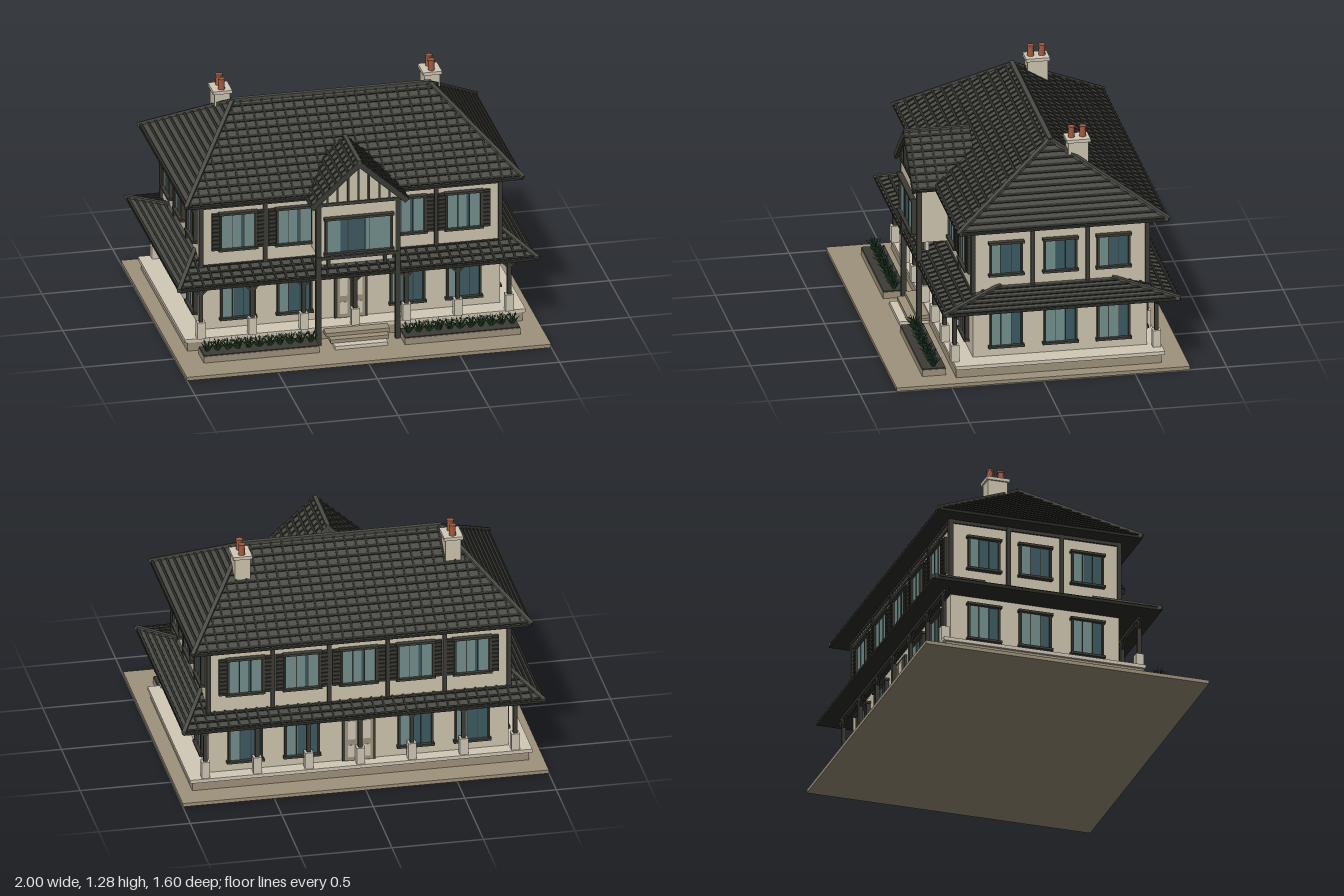
import * as THREE from 'three';
import { mergeGeometries } from 'three/addons/utils/BufferGeometryUtils.js';
import { ConvexGeometry } from 'three/addons/geometries/ConvexGeometry.js';

const V = (x, y, z) => new THREE.Vector3(x, y, z);
const mat = (name, color) => {
  const m = new THREE.MeshStandardMaterial({ color });
  m.name = name;
  return m;
};

export function createModel() {
  const wall = mat('cream render', 0xd0c7b0), timber = mat('dark timber', 0x3d3c36);
  const tile = mat('slate tile', 0x4c4c46), joint = mat('tile shadow course', 0x2c2c28);
  const earth = mat('sandstone', 0x9f937c), stone = mat('pale stone', 0xd2cab8);
  const glass = mat('dark glass', 0x3c5a62), pale = mat('pale glass', 0x73908e);
  const clay = mat('terracotta', 0xa05a40), leaf = mat('leaf', 0x2b4d2c);

  const house = new THREE.Group();
  house.name = 'house';

  const add = (parent, name, geo, m) => {
    const mesh = new THREE.Mesh(geo, m);
    mesh.name = name;
    parent.add(mesh);
    return mesh;
  };
  const group = (name, parent = house) => {
    const g = new THREE.Group();
    g.name = name;
    parent.add(g);
    return g;
  };
  const box = (parent, name, m, w, h, d, x, y, z) => {
    const mesh = add(parent, name, new THREE.BoxGeometry(w, h, d), m);
    mesh.position.set(x, y, z);
    return mesh;
  };
  // Box running from p to q, with its thickness along the normal n
  const bar = (p, q, width, thick, n) => {
    const dir = q.clone().sub(p), len = dir.length();
    dir.normalize();
    const side = dir.clone().cross(n).normalize();
    const up = side.clone().cross(dir);
    return new THREE.BoxGeometry(len, thick, width)
      .applyMatrix4(new THREE.Matrix4().makeBasis(dir, up, side))
      .translate((p.x + q.x) / 2, (p.y + q.y) / 2, (p.z + q.z) / 2);
  };
  // Raised courses and upright joints on a slope: eave a-b, top c-d
  const tiles = (parent, a, b, c, d, courses, spacing) => {
    const u = b.clone().sub(a), L = u.length();
    u.normalize();
    const uc = c.clone().sub(a).dot(u), ud = d.clone().sub(a).dot(u);
    const up = c.clone().sub(a).addScaledVector(u, -uc);
    const n = u.clone().cross(up).normalize();
    const bars = [];
    for (let i = 0; i < courses; i++) {
      const t = (i + 0.3) / courses;
      bars.push(bar(a.clone().lerp(c, t), b.clone().lerp(d, t), 0.014, 0.012, n));
    }
    if (spacing) for (let s = spacing / 2; s < L; s += spacing) {
      const t = Math.min(1, uc > 0.001 ? s / uc : 1, L - ud > 0.001 ? (L - s) / (L - ud) : 1);
      const p = a.clone().addScaledVector(u, s);
      bars.push(bar(p, p.clone().addScaledVector(up, t), 0.011, 0.01, n));
    }
    add(parent, 'tile courses', mergeGeometries(bars), joint);
  };
  // Hipped roof between two rectangles, with eave board and hip caps
  const hipRoof = (name, lo, hi, y0, y1, courses) => {
    const g = group(name);
    const ring = ([x, zb, zf], y) => [V(-x, y, zf), V(x, y, zf), V(x, y, zb), V(-x, y, zb)];
    const e = ring(lo, y0), t = ring(hi, y1);
    add(g, 'roof body', new ConvexGeometry([...e, ...t]), tile);
    box(g, 'eave board', joint, 2 * lo[0], 0.014, lo[2] - lo[1], 0, y0 - 0.006, (lo[1] + lo[2]) / 2);
    for (let i = 0; i < 4; i++) {
      const j = (i + 1) % 4;
      tiles(g, e[i], e[j], t[i], t[j], courses, i % 2 ? 0 : 0.057);
      add(g, 'hip cap', bar(e[i], t[i], 0.022, 0.022, V(0, 1, 0)), tile);
    }
    return g;
  };

  // Ground, terrace and walls
  box(house, 'ground', earth, 2, 0.02, 1.6, 0, 0.01, 0);
  box(house, 'terrace base', earth, 1.84, 0.05, 1.12, 0, 0.045, -0.1);
  box(house, 'terrace slab', stone, 1.87, 0.02, 1.14, 0, 0.08, -0.105);
  box(house, 'walls', wall, 1.64, 0.75, 0.95, 0, 0.465, -0.125);

  // Roofs
  hipRoof('veranda roof', [0.985, -0.75, 0.54], [0.82, -0.41, 0.2], 0.413, 0.495, 6);
  const main = hipRoof('main roof', [0.925, -0.7, 0.45], [0.54, -0.126, -0.124], 0.852, 1.2, 13);
  box(main, 'ridge cap', tile, 1.1, 0.02, 0.025, 0, 1.202, -0.125);

  // Upper floor timber frame
  const frame = group('timber frame');
  for (const x of [-0.82, -0.47, -0.16, 0.16, 0.47, 0.82]) {
    box(frame, 'back post', timber, 0.022, 0.39, 0.02, x, 0.645, -0.603);
    if (Math.abs(x) > 0.3) box(frame, 'front post', timber, 0.022, 0.39, 0.02, x, 0.645, 0.353);
  }
  for (const s of [-1, 1]) {
    for (const z of [-0.6, -0.275, 0.025, 0.35])
      box(frame, 'side post', timber, 0.02, 0.39, 0.022, s * 0.823, 0.645, z);
    box(frame, 'side top rail', timber, 0.02, 0.02, 0.95, s * 0.82, 0.83, -0.125);
  }
  for (const z of [-0.602, 0.352]) {
    box(frame, 'top rail', timber, 1.64, 0.016, 0.016, 0, 0.8, z);
    box(frame, 'eave rail', timber, 1.64, 0.016, 0.016, 0, 0.835, z);
  }

  // Windows facing local +z; bands lists the pale panes as fractions of the width
  const makeWindow = (name, w, h, x, y, z, turn, bands, shutters) => {
    const g = group(name);
    g.position.set(x, y, z);
    g.rotation.y = turn;
    box(g, 'pane', glass, w, h, 0.008, 0, 0, 0.004);
    for (const [a, b] of bands)
      box(g, 'pale pane', pale, (b - a) * w, h, 0.004, ((a + b) / 2 - 0.5) * w, 0, 0.009);
    for (const s of [-1, 1]) {
      box(g, 'jamb', timber, 0.011, h, 0.024, s * w / 2, 0, 0.01);
      box(g, s > 0 ? 'head' : 'sill', timber, w + 0.025, 0.013, 0.034, 0, s * h / 2, 0.013);
      if (!shutters) continue;
      box(g, 'shutter', timber, 0.042, h + 0.005, 0.014, s * (w / 2 + 0.028), 0, 0.009);
      for (let i = 0; i < 9; i++)
        box(g, 'louvre', joint, 0.034, 0.009, 0.008, s * (w / 2 + 0.028), ((i + 0.5) / 9 - 0.5) * h, 0.018);
    }
    for (const m of [-1 / 6, 1 / 6])
      box(g, 'mullion', timber, 0.004, h, 0.006, m * w, 0, 0.011);
  };
  const left = [[0, 0.36]], most = [[0, 0.58], [0.66, 1]];
  for (const x of [-0.62, -0.31, 0, 0.31, 0.62]) {
    if (x) {
      makeWindow('upper front window', 0.19, 0.21, x, 0.655, 0.35, 0, most, true);
      makeWindow('lower front window', 0.18, 0.205, x, 0.25, 0.35, 0, left, false);
      makeWindow('lower back window', 0.18, 0.205, x, 0.25, -0.6, Math.PI, left, false);
    }
    makeWindow('upper back window', 0.19, 0.21, x, 0.655, -0.6, Math.PI, most, true);
  }
  for (const s of [-1, 1]) for (const z of [-0.415, -0.125, 0.17]) {
    makeWindow('upper side window', 0.17, 0.185, s * 0.82, 0.655, z, s * Math.PI / 2, left, false);
    makeWindow('lower side window', 0.17, 0.205, s * 0.82, 0.25, z, s * Math.PI / 2, [[0, 0.67]], false);
  }

  // Doors
  for (const s of [-1, 1]) {
    const g = group(s > 0 ? 'front door' : 'back door');
    g.position.z = s > 0 ? 0.35 : -0.6;
    g.rotation.y = s > 0 ? 0 : Math.PI;
    box(g, 'door frame', timber, 0.18, 0.275, 0.02, 0, 0.228, 0.005);
    for (const x of [-0.041, 0.041]) {
      box(g, 'door leaf', earth, 0.07, 0.255, 0.008, x, 0.222, 0.016);
      box(g, 'upper panel', stone, 0.042, 0.11, 0.006, x, 0.275, 0.019);
      box(g, 'lower panel', stone, 0.042, 0.07, 0.006, x, 0.15, 0.019);
    }
  }

  // Veranda columns on stone piers, with diagonal braces
  for (const z of [0.455, -0.645]) {
    for (let i = -3; i <= 3; i++) {
      const g = group('veranda column');
      g.position.set(i * 0.282, 0, z);
      box(g, 'pier', stone, 0.045, 0.095, 0.045, 0, 0.1375, 0);
      box(g, 'post', timber, 0.022, 0.23, 0.022, 0, 0.295, 0);
      for (const s of [-1, 1])
        add(g, 'brace', bar(V(0, 0.335, 0), V(s * 0.058, 0.395, 0), 0.012, 0.012, V(0, 0, 1)), timber);
    }
    box(house, 'veranda beam', timber, 1.74, 0.018, 0.022, 0, 0.395, z);
  }

  // Projecting bay with gable
  const bay = group('gabled bay');
  box(bay, 'bay walls', wall, 0.43, 0.32, 0.21, 0, 0.68, 0.435);
  for (const y of [0.525, 0.838]) box(bay, 'bay rail', timber, 0.45, 0.018, 0.02, 0, y, 0.538);
  for (const s of [-1, 1]) {
    box(bay, 'bay post', timber, 0.028, 0.82, 0.028, s * 0.218, 0.43, 0.528);
    box(bay, 'bay bracket', timber, 0.016, 0.07, 0.02, s * 0.155, 0.49, 0.5);
    box(bay, 'bay side rail', timber, 0.008, 0.014, 0.19, s * 0.216, 0.835, 0.44);
  }
  box(bay, 'bay beam', stone, 0.4, 0.05, 0.02, 0, 0.49, 0.48);
  makeWindow('bay window', 0.36, 0.205, 0, 0.657, 0.54, 0, [[0, 0.22], [0.6, 1]], false);
  const prism = (w, y0, y1, z0, z1) => new ConvexGeometry(
    [z0, z1].flatMap((z) => [V(-w, y0, z), V(w, y0, z), V(0, y1, z)]));
  add(bay, 'gable roof body', prism(0.24, 0.84, 1.062, 0.21, 0.53), tile);
  add(bay, 'gable face', prism(0.235, 0.84, 1.055, 0.53, 0.54), wall);
  for (const x of [-0.17, -0.115, -0.057, 0, 0.057, 0.115, 0.17]) {
    const h = 0.21 * (1 - Math.abs(x) / 0.235);
    box(bay, 'gable stud', timber, 0.011, h, 0.012, x, 0.84 + h / 2, 0.542);
  }
  for (const s of [-1, 1]) {
    const n = V(s * 0.25, 0.27, 0).normalize();
    const e = V(s * 0.265, 0.835, 0.39), r = V(0, 1.075, 0.39);
    add(bay, 'gable slope', bar(e, r, 0.36, 0.018, n), tile);
    const at = (p, z) => V(p.x, p.y, z).addScaledVector(n, 0.009);
    const [z0, z1] = s > 0 ? [0.57, 0.21] : [0.21, 0.57];
    tiles(bay, at(e, z0), at(e, z1), at(r, z0), at(r, z1), 8, 0.057);
    add(bay, 'barge board', bar(V(s * 0.262, 0.832, 0.562), V(0, 1.068, 0.562), 0.018, 0.03, n), timber);
  }
  box(bay, 'gable ridge', tile, 0.022, 0.016, 0.36, 0, 1.083, 0.39);

  // Chimneys
  for (const s of [-1, 1]) {
    const g = group('chimney');
    g.position.set(s * 0.576, 0, -0.265);
    box(g, 'stack', wall, 0.085, 0.25, 0.11, 0, 1.085, 0);
    box(g, 'cap', stone, 0.105, 0.018, 0.13, 0, 1.215, 0);
    for (const z of [-0.031, 0.031]) {
      add(g, 'pot', new THREE.CylinderGeometry(0.016, 0.019, 0.06, 12), clay).position.set(0, 1.25, z);
      add(g, 'pot rim', new THREE.CylinderGeometry(0.02, 0.02, 0.01, 12), clay).position.set(0, 1.28, z);
    }
  }

  // Front steps
  for (let i = 0; i < 3; i++)
    box(house, 'step', i ? earth : stone, 0.29 + i * 0.03, 0.02, 0.16 - i * 0.045, 0, 0.03 + i * 0.02, 0.54 - i * 0.0225);

  // Planters with spiky plants and small flowers
  for (const s of [-1, 1]) {
    const g = group('planter');
    g.position.set(s * 0.552, 0, 0.57);
    box(g, 'planter box', earth, 0.635, 0.036, 0.13, 0, 0.038, 0);
    box(g, 'planter soil', timber, 0.63, 0.008, 0.125, 0, 0.058, 0);
    const blades = [], flowers = [];
    for (let i = 0; i < 11; i++) {
      const x = (i - 5) * 0.057;
      for (let k = 0; k < 9; k++) {
        const a = k * 2.4 + i, lean = 0.2 + 0.09 * k;
        blades.push(new THREE.ConeGeometry(0.008, 0.075, 4).translate(0, 0.037, 0)
          .rotateZ(-lean).rotateY(a).translate(x, 0.06, 0.005 * Math.sin(a)));
      }
      for (let k = 0; k < 3; k++)
        flowers.push(new THREE.IcosahedronGeometry(0.007, 0)
          .translate(x + 0.022 * Math.cos(k * 2.1 + i), 0.108, 0.022 * Math.sin(k * 2.1 + i)));
    }
    add(g, 'leaves', mergeGeometries(blades), leaf);
    add(g, 'flowers', mergeGeometries(flowers), glass);
  }
  return house;
}
